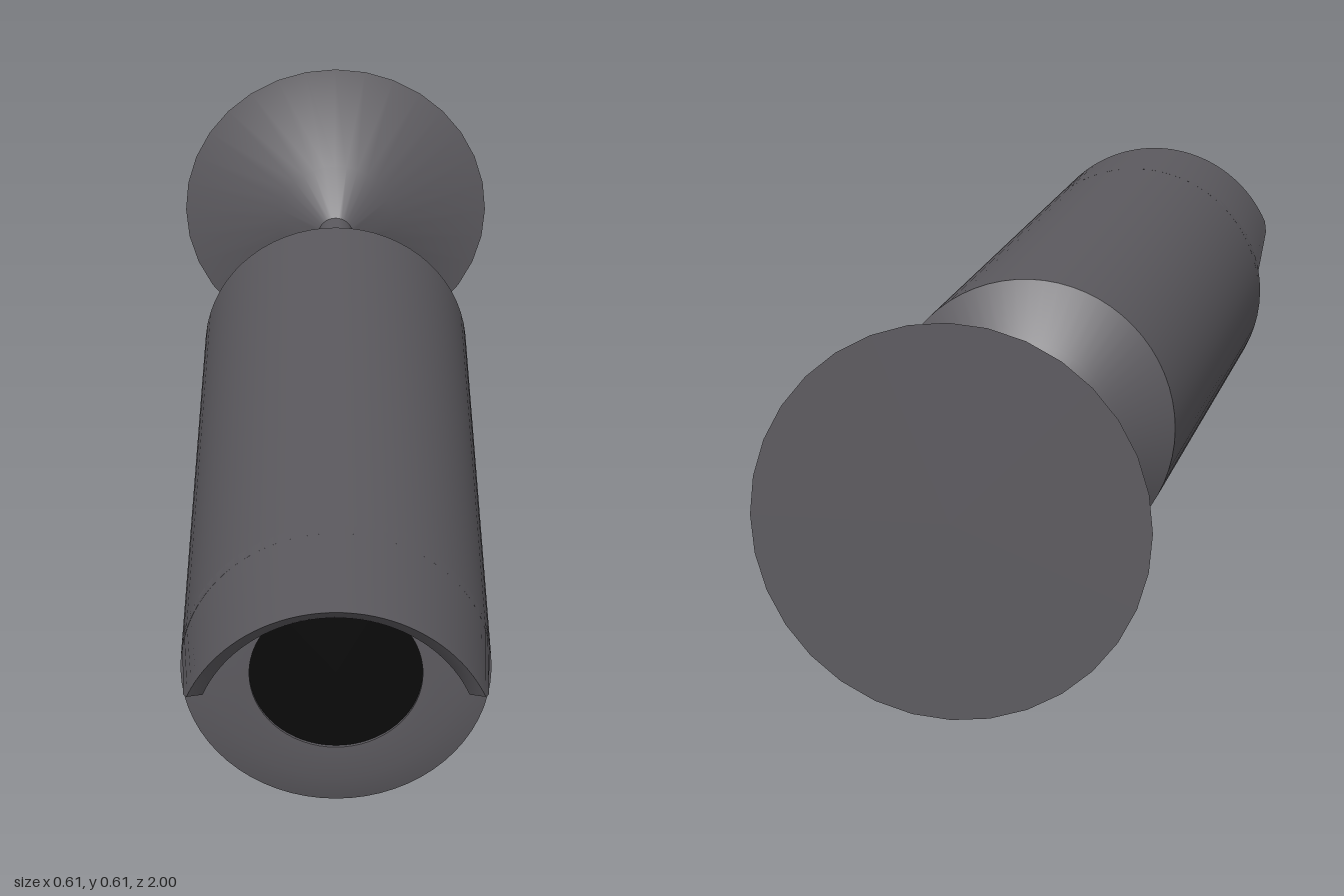
import * as THREE from 'three';
import { toCreasedNormals } from 'three/addons/utils/BufferGeometryUtils.js';

const AXIS_Y = 0.303;
const shell = new THREE.MeshStandardMaterial({ color: 0x5c5a5f });
const black = new THREE.MeshStandardMaterial({ color: 0x0a0a0a });

// Turned part along z: profile is a list of [radius, z] from back to front
function turned(name, profile, sides, crease = 0.7) {
  const pts = profile.map(([r, z]) => new THREE.Vector2(r, z));
  const geo = new THREE.LatheGeometry(pts, sides).rotateX(Math.PI / 2);
  const mesh = new THREE.Mesh(toCreasedNormals(geo, crease), shell);
  mesh.name = name;
  return mesh;
}

// Sun hood: a wedge section swept over the top, its lower edges rising to the front
function hoodGeometry() {
  // [radius, z, height of the lower edge above the axis]
  const section = [
    [0.242, 0.74, 0.036], [0.242, 0.97, 0.082], [0.242, 1.0, 0.097],
    [0.215, 0.97, 0.082], [0.185, 0.77, 0.036],
  ];
  const steps = 40, n = section.length, pos = [], idx = [];
  for (let i = 0; i <= steps; i++) {
    for (const [r, z, h] of section) {
      const start = Math.asin(h / r);
      const a = start + (Math.PI - 2 * start) * i / steps;
      pos.push(r * Math.cos(a), r * Math.sin(a), z);
    }
  }
  for (let i = 0; i < steps; i++) {
    for (let j = 0; j < n; j++) {
      const a = i * n + j, b = i * n + (j + 1) % n;
      idx.push(a, a + n, b, b, a + n, b + n);
    }
  }
  // End caps
  const last = steps * n;
  for (const [j, k] of [[1, 3], [1, 2], [3, 4]]) {
    const [p, q, r] = j === 1 && k === 3 ? [0, 1, 3] : j === 1 ? [1, 2, 3] : [0, 3, 4];
    idx.push(p, q, r, last + p, last + r, last + q);
  }
  const geo = new THREE.BufferGeometry();
  geo.setAttribute('position', new THREE.Float32BufferAttribute(pos, 3));
  geo.setIndex(idx);
  return toCreasedNormals(geo, 0.6);
}

export function createModel() {
  const group = new THREE.Group();
  group.name = 'securityCamera';

  // Wall plate flaring from the stem
  group.add(turned('wallPlate', [[0, -1], [0.303, -1], [0.115, -0.95], [0.034, -0.88]], 32));
  group.add(turned('stem', [[0.034, -0.88], [0.034, -0.51]], 32));

  // Housing with domed back and bevelled front ring
  group.add(turned('housing', [
    [0.034, -0.51], [0.155, -0.443], [0.242, -0.37], [0.242, 0.765],
    [0.193, 0.78], [0.135, 0.78], [0.135, 0.772],
  ], 64));

  const hood = new THREE.Mesh(hoodGeometry(), shell);
  hood.material = shell.clone();
  hood.material.side = THREE.DoubleSide;
  hood.name = 'sunHood';
  group.add(hood);

  const lens = new THREE.Mesh(new THREE.CircleGeometry(0.135, 64), black);
  lens.name = 'lens';
  lens.position.z = 0.775;
  group.add(lens);

  for (const part of group.children) part.position.y = AXIS_Y;
  return group;
}
